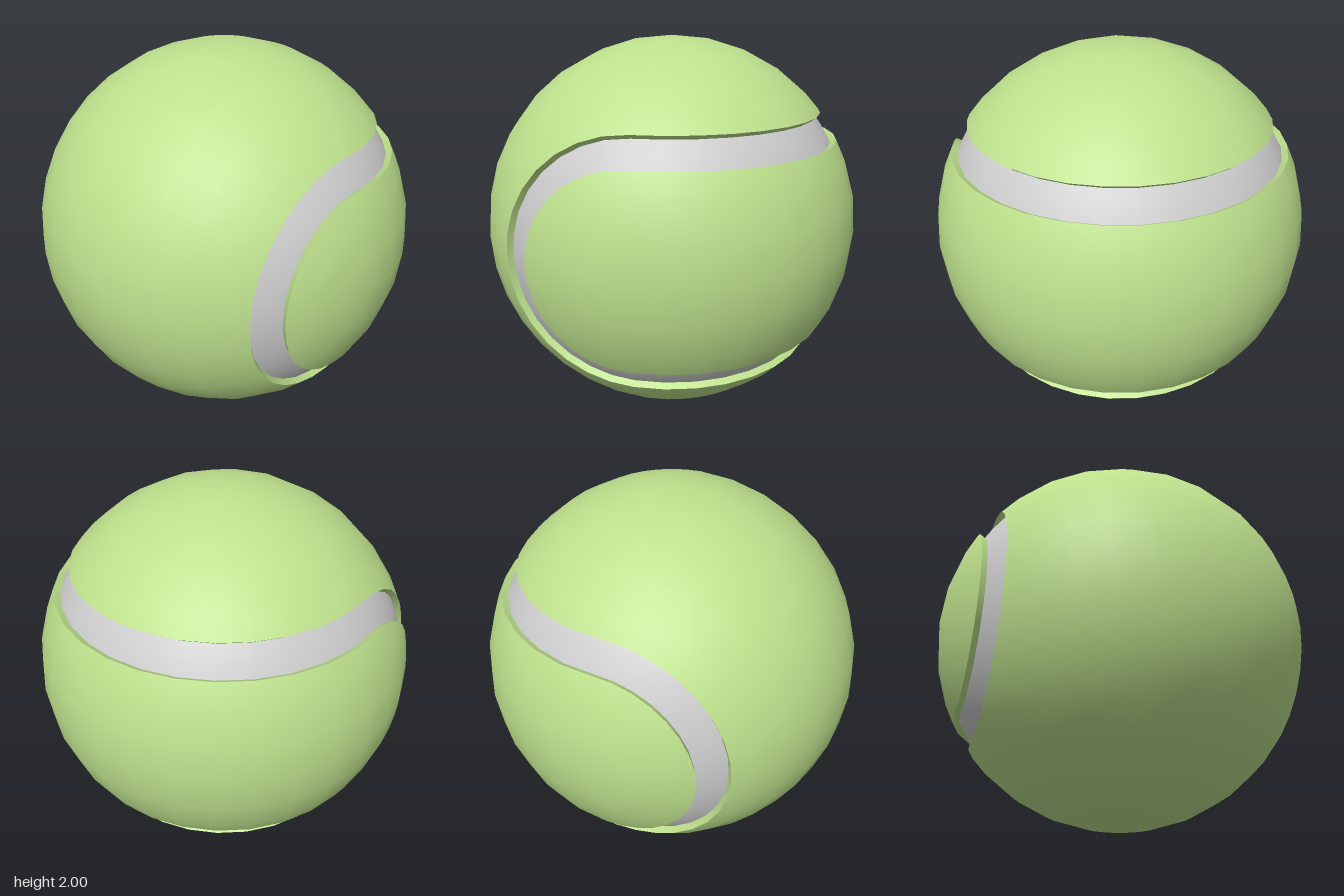
import * as THREE from 'three';

const STEP = Math.PI / 16;
const OUTER = 1, FLOOR = 0.966;
const SEAM_HIGH = Math.acos(0.622); // seam edges, as angles from the pole of the +x half
const SEAM_LOW = Math.acos(0.487);

const green = new THREE.MeshStandardMaterial({ color: 0xbde08c, roughness: 0.9 });
const greenWall = green.clone();
greenWall.side = THREE.DoubleSide;
const grey = new THREE.MeshStandardMaterial({ color: 0xcccccc, roughness: 0.9 });

const polar = (radius, a) => new THREE.Vector2(Math.max(0, radius * Math.sin(a)), radius * Math.cos(a));

// Half-turn spherical zone between two polar angles (from > to, so faces look outward)
function zone(name, material, radius, from, to, phiStart) {
  const angles = [from];
  for (let i = 16; i >= 0; i--) {
    const a = i * STEP;
    if (a < from - 1e-3 && a > to + 1e-3) angles.push(a);
  }
  angles.push(to);
  const geometry = new THREE.LatheGeometry(angles.map(a => polar(radius, a)), 16, phiStart, Math.PI);
  // exact radial normals keep the joints between zones smooth
  const p = geometry.attributes.position, n = geometry.attributes.normal;
  const v = new THREE.Vector3();
  for (let i = 0; i < p.count; i++) {
    v.fromBufferAttribute(p, i).normalize();
    n.setXYZ(i, v.x, v.y, v.z);
  }
  const mesh = new THREE.Mesh(geometry, material);
  mesh.name = name;
  return mesh;
}

// Short radial step between the felt and the seam floor
function wall(angle, r0, r1, phiStart) {
  const geometry = new THREE.LatheGeometry([polar(r0, angle), polar(r1, angle)], 16, phiStart, Math.PI);
  const mesh = new THREE.Mesh(geometry, greenWall);
  mesh.name = 'feltEdge';
  return mesh;
}

// Half ball: felt caps at both poles, a felt band round the middle, seam grooves between
function halfBall(name, capAngle, bandAngle, phiStart) {
  const half = new THREE.Group();
  half.name = name;
  const PI = Math.PI;
  half.add(
    zone('feltCap', green, OUTER, PI, PI - capAngle, phiStart),
    wall(PI - capAngle, OUTER, FLOOR, phiStart),
    zone('seam', grey, FLOOR, PI - capAngle, PI - bandAngle, phiStart),
    wall(PI - bandAngle, FLOOR, OUTER, phiStart),
    zone('feltBand', green, OUTER, PI - bandAngle, bandAngle, phiStart),
    wall(bandAngle, OUTER, FLOOR, phiStart),
    zone('seam', grey, FLOOR, bandAngle, capAngle, phiStart),
    wall(capAngle, FLOOR, OUTER, phiStart),
    zone('feltCap', green, OUTER, capAngle, 0, phiStart),
  );
  return half;
}

export function createModel() {
  const ball = new THREE.Group();
  ball.name = 'tennisBall';

  const leftHalf = halfBall('leftHalf', SEAM_HIGH, SEAM_LOW, 0);

  // the other half is turned a quarter, so the seam runs on as one continuous curve
  const rightHalf = halfBall('rightHalf', Math.PI / 2 - SEAM_LOW, Math.PI / 2 - SEAM_HIGH, Math.PI);
  rightHalf.rotation.x = Math.PI / 2;

  ball.add(leftHalf, rightHalf);
  ball.position.y = 1;

  const model = new THREE.Group();
  model.add(ball);
  return model;
}
